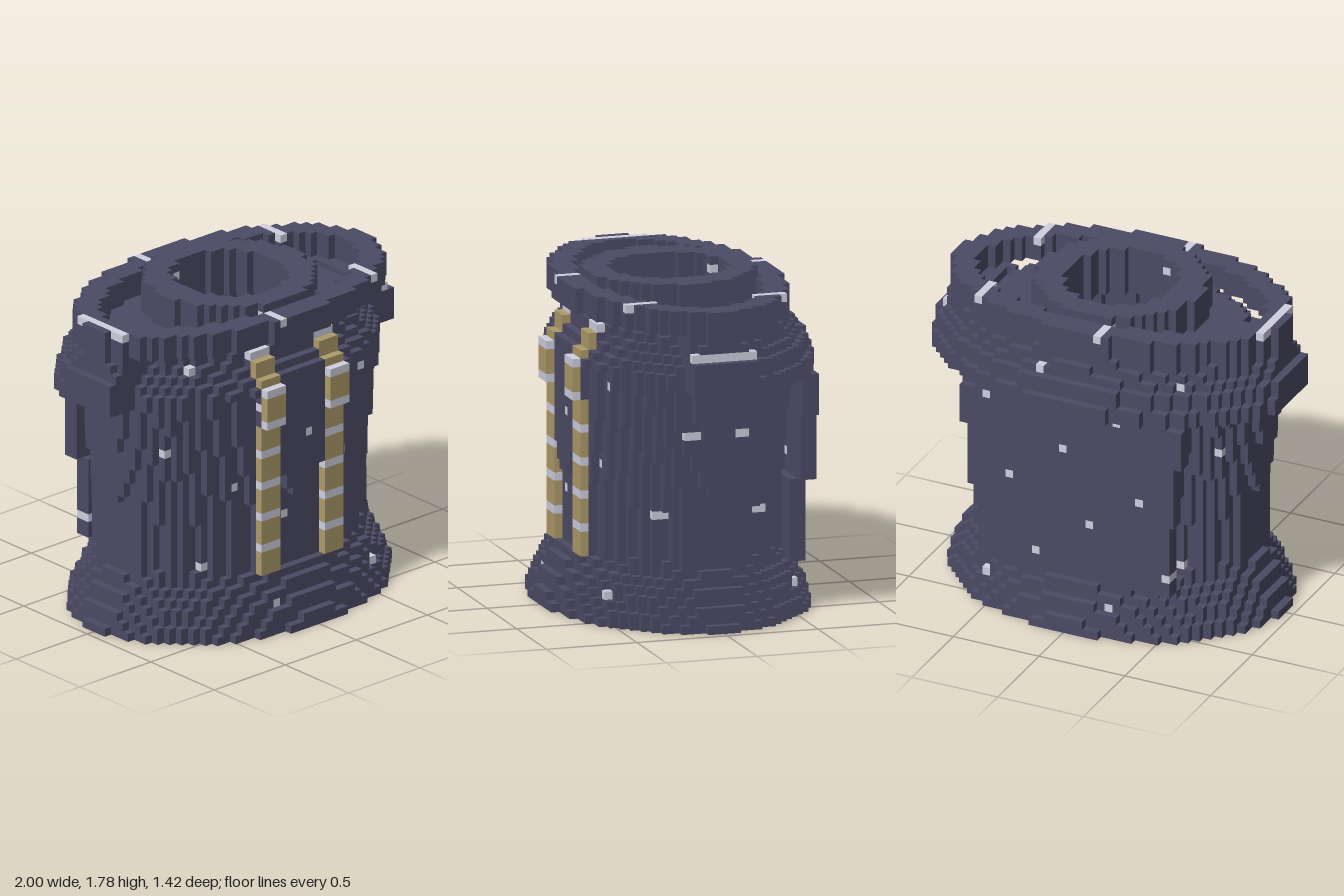
import * as THREE from 'three';

// Block grid: 45 wide, 40 high, 32 deep
const H = 2 / 45;

const dark = new THREE.MeshStandardMaterial({ color: 0x4b4a65 });
dark.name = 'dark slate cloth';
const gold = new THREE.MeshStandardMaterial({ color: 0xad9a69 });
gold.name = 'dull gold trim';
const pale = new THREE.MeshStandardMaterial({ color: 0xd0cfe0 });
pale.name = 'pale silver';

// Body outline: [height, half width, half depth]
const PROFILE = [
  [0, 0.948, 0.714], [0.09, 0.915, 0.688], [0.18, 0.87, 0.644], [0.27, 0.82, 0.6],
  [0.32, 0.797, 0.552], [0.45, 0.79, 0.545], [0.6, 0.793, 0.546], [0.711, 0.8, 0.5555],
  [1.02, 0.8445, 0.573], [1.044, 0.851, 0.575], [1.17, 0.866, 0.584], [1.378, 0.885, 0.596],
  [1.4, 0.87, 0.565], [1.444, 0.845, 0.53], [1.489, 0.815, 0.5], [1.533, 0.78, 0.475],
  [1.578, 0.7, 0.45],
];

function bodySize(y) {
  let n = 1;
  while (n < PROFILE.length - 1 && PROFILE[n][0] < y) n++;
  const [y0, a0, b0] = PROFILE[n - 1];
  const [y1, a1, b1] = PROFILE[n];
  const t = Math.min(1, (y - y0) / (y1 - y0));
  return [a0 + (a1 - a0) * t, b0 + (b1 - b0) * t];
}

const inside = (x, z, a, b) => (x / a) ** 2 + (z / b) ** 2 < 1;

// Half width and half depth of the shoulder yoke, by layer
const YOKE = {
  29: [1.022, 0.71], 30: [1.022, 0.71], 31: [1.02, 0.67], 32: [1.02, 0.67],
  33: [0.975, 0.63], 34: [0.955, 0.605], 35: [0.945, 0.575],
};

// Front block of the chest straps, by layer
function strapFront(j) {
  if (j >= 34) return 10;
  if (j >= 32) return 11;
  return j >= 26 && j <= 30 ? 13 : 12;
}

// Half width of the back panel in blocks, by layer
function panelHalf(j) {
  if (j >= 24) return 14;
  return j >= 16 ? 13 : 12;
}

// Which part, if any, fills the block at column i, layer j, row k
function partAt(i, j, k) {
  const x = i * H, y = (j + 0.5) * H, z = (k + 0.5) * H;

  // Two segmented straps down the chest
  const s = Math.abs(i);
  if (s >= 4 && s <= 6 && j >= 7 && j <= 34) {
    const f = strapFront(j);
    if (k === f) return j % 4 === 2 ? 'strapBands' : 'straps';
    if (k > f) return null;
    if (k >= f - 2) return 'body';
  }

  // Neck collar and the raised rim around it
  if (j >= 34 && inside(x, z, 0.3, 0.315)) return null;
  if (j >= 36) {
    if (inside(x, z, 0.456, 0.442)) return 'collar';
    if (j < 39 && inside(x, z, 0.945, 0.57) && !inside(x, z, 0.81, 0.445)) return 'rim';
    return null;
  }

  // Hollow torso, closed at the shoulders
  if (j < 34 && inside(x, z, 0.61, 0.43)) return null;

  // Gold lining inside the hem, with a narrow gap around it
  if (j < 3) {
    if (inside(x, z, 0.72, 0.53)) return 'lining';
    if (inside(x, z, 0.775, 0.58)) return null;
  }

  const [a, b] = bodySize(y);
  if (inside(x, z, a, b)) return 'body';

  // Thin flat back panel, wider and further out above the waist
  const back = j >= 16 ? -14 : -13;
  if (j >= 6 && j <= 28 && s <= panelHalf(j) && (k === back || k === back + 1)) return 'backPanel';

  // Shoulder yoke, a shell over the back and sides
  if (YOKE[j] && k <= 3) {
    const [ya, yb] = YOKE[j];
    if (inside(x, z, ya, yb) && !inside(x, z, ya - 0.2, yb - 0.14)) return 'yoke';
  }
  return null;
}

const CLOTH = ['body', 'backPanel', 'yoke', 'rim', 'collar'];
// Regular pale flecks woven through the cloth
const isFleck = (i, j) => j % 5 === 3 && (i - 2 * j - 6 + 170) % 17 === 0;

// Each block side: normal and its two in-plane axes (u x v = normal)
const SIDES = [
  [[1, 0, 0], [0, 1, 0], [0, 0, 1]], [[-1, 0, 0], [0, 0, 1], [0, 1, 0]],
  [[0, 1, 0], [0, 0, 1], [1, 0, 0]], [[0, -1, 0], [1, 0, 0], [0, 0, 1]],
  [[0, 0, 1], [1, 0, 0], [0, 1, 0]], [[0, 0, -1], [0, 1, 0], [1, 0, 0]],
];
const CORNERS = [[-1, -1], [1, -1], [1, 1], [-1, -1], [1, 1], [-1, 1]];

export function createModel() {
  const group = new THREE.Group();
  group.name = 'jacket';

  // Fill the grid
  const cells = new Map();
  const key = (i, j, k) => (i + 30) * 10000 + (j + 2) * 100 + k + 30;
  for (let i = -22; i <= 22; i++)
    for (let j = 0; j < 40; j++)
      for (let k = -16; k < 16; k++) {
        let part = partAt(i, j, k);
        if (!part) continue;
        if (CLOTH.includes(part) && isFleck(i, j)) part = 'flecks';
        cells.set(key(i, j, k), [part, i, j, k]);
      }

  // Collect only the exposed sides of each part's blocks
  const parts = {};
  for (const [part, i, j, k] of cells.values()) {
    const out = (parts[part] ??= { position: [], normal: [] });
    const c = [i * H, (j + 0.5) * H, (k + 0.5) * H];
    for (const [n, u, v] of SIDES) {
      if (cells.has(key(i + n[0], j + n[1], k + n[2]))) continue;
      for (const [p, q] of CORNERS) {
        for (let d = 0; d < 3; d++) out.position.push(c[d] + (n[d] + u[d] * p + v[d] * q) * H / 2);
        out.normal.push(...n);
      }
    }
  }

  // One mesh for each part
  const materials = { straps: gold, lining: gold, strapBands: pale, flecks: pale };
  for (const [name, data] of Object.entries(parts)) {
    const geometry = new THREE.BufferGeometry();
    for (const attr of ['position', 'normal'])
      geometry.setAttribute(attr, new THREE.Float32BufferAttribute(data[attr], 3));
    const mesh = new THREE.Mesh(geometry, materials[name] ?? dark);
    mesh.name = name;
    group.add(mesh);
  }
  return group;
}
